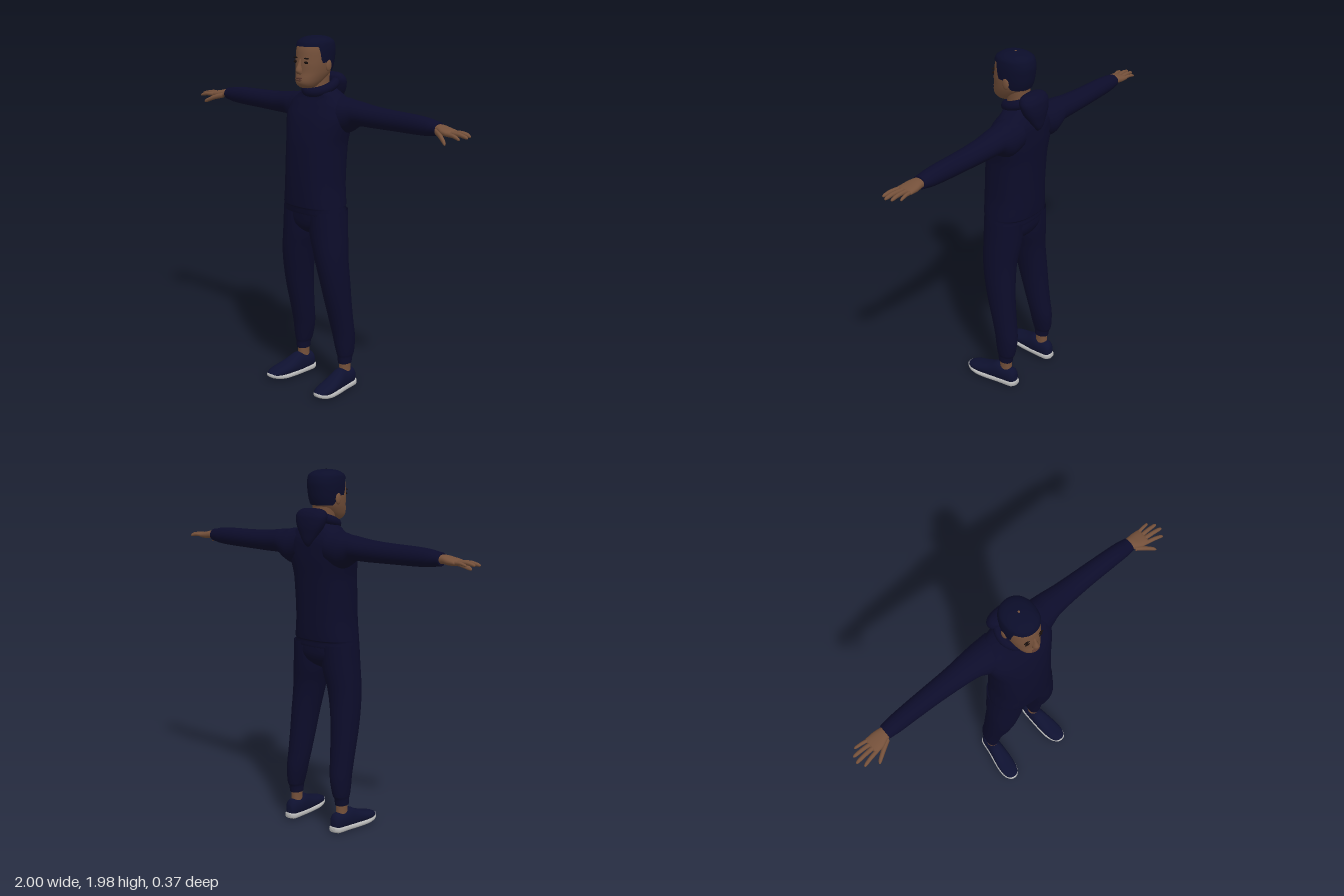
import * as THREE from 'three';

const mat = (name, color, side = THREE.FrontSide) => {
  const m = new THREE.MeshStandardMaterial({ color, side });
  m.name = name;
  return m;
};

// Monotone cubic interpolation of cross-section rows [t, cu, cv, ru, rv]
function rowAt(rows, t) {
  let i = 0;
  while (i < rows.length - 2 && t > rows[i + 1][0]) i++;
  const slope = (j, c) => (rows[j + 1][c] - rows[j][c]) / (rows[j + 1][0] - rows[j][0]);
  const tangent = (j, c) => {
    if (j === 0) return slope(0, c);
    if (j === rows.length - 1) return slope(j - 1, c);
    const a = slope(j - 1, c), b = slope(j, c);
    return a * b <= 0 ? 0 : (2 * a * b) / (a + b);
  };
  const h = rows[i + 1][0] - rows[i][0], k = (t - rows[i][0]) / h;
  return [1, 2, 3, 4].map((c) =>
    rows[i][c] * (1 + 2 * k) * (1 - k) ** 2 + tangent(i, c) * h * k * (1 - k) ** 2 +
    rows[i + 1][c] * k * k * (3 - 2 * k) + tangent(i + 1, c) * h * k * k * (k - 1));
}

// Skin over superelliptic rings along an axis; u and v follow it cyclically
function loft(axis, rows, { n = 2.2, seg = 28, sub = 4, low = null, grow = 0 } = {}) {
  const pos = [], index = [], first = rows[0][0], last = rows[rows.length - 1][0];
  const steps = low ? 20 : (rows.length - 1) * sub;
  for (let r = 0; r <= steps; r++) {
    const i = Math.min(Math.floor(r / sub), rows.length - 2);
    for (let j = 0; j < seg; j++) {
      const a = (j / seg) * Math.PI * 2, c = Math.cos(a), s = Math.sin(a);
      const t = low
        ? low(c) + (last - low(c)) * Math.sin((r / steps) * Math.PI / 2)
        : rows[i][0] + (rows[i + 1][0] - rows[i][0]) * (r / sub - i);
      const [cu, cv, ru, rv] = rowAt(rows, t);
      const p = [0, 0, 0];
      p[axis] = t + grow * Math.max(0, (t - first) / (last - first));
      p[(axis + 1) % 3] = cu + (ru + grow) * Math.sign(c) * Math.abs(c) ** (2 / n);
      p[(axis + 2) % 3] = cv + (rv + grow) * Math.sign(s) * Math.abs(s) ** (2 / n);
      pos.push(...p);
      if (r < steps) {
        const k = r * seg + j, q = r * seg + ((j + 1) % seg);
        index.push(k, q, k + seg, q, q + seg, k + seg);
      }
    }
  }
  const g = new THREE.BufferGeometry();
  g.setAttribute('position', new THREE.Float32BufferAttribute(pos, 3));
  g.setIndex(index);
  g.computeVertexNormals();
  return g;
}

const ball = (x, y, z, rx, ry, rz) =>
  new THREE.SphereGeometry(1, 20, 14).scale(rx, ry, rz).translate(x, y, z);

function mirrored(geometry) {
  const g = geometry.clone().scale(-1, 1, 1), ix = g.index.array;
  for (let i = 0; i < ix.length; i += 3) [ix[i], ix[i + 1]] = [ix[i + 1], ix[i]];
  return g;
}

export function createModel() {
  const model = new THREE.Group();
  model.name = 'standingMan';
  const cloth = mat('navy cloth', 0x0c0c2a, THREE.DoubleSide);
  const hair = mat('dark hair', 0x0b0d2a, THREE.DoubleSide);
  const skin = mat('brown skin', 0x74503a);
  const lip = mat('lip', 0x5c3a2e);
  const dark = mat('eye dark', 0x170e0c);
  const shoe = mat('navy shoe', 0x0e1130);
  const sole = mat('pale sole', 0xb4b4b4);

  const add = (name, geometry, material) => {
    const m = new THREE.Mesh(geometry, material);
    m.name = name;
    model.add(m);
  };
  const pair = (name, geometry, material) => {
    add(name + 'Left', geometry, material);
    add(name + 'Right', mirrored(geometry), material);
  };
  const X = 0, Y = 1, Z = 2;

  // Head, neck and cropped hair
  const headRows = [
    [1.708, 0.06, 0, 0, 0], [1.714, 0.062, 0, 0.035, 0.032], [1.73, 0.06, 0, 0.06, 0.05],
    [1.76, 0.04, 0, 0.088, 0.066], [1.8, 0.017, 0, 0.103, 0.079], [1.85, 0.009, 0, 0.109, 0.086],
    [1.9, 0.003, 0, 0.109, 0.088], [1.945, 0, 0, 0.098, 0.082], [1.963, -0.002, 0, 0.076, 0.064],
    [1.973, -0.002, 0, 0.045, 0.04], [1.978, -0.002, 0, 0, 0],
  ];
  add('head', loft(Y, headRows, { seg: 40 }), skin);
  const ease = THREE.MathUtils.smoothstep;
  const hairline = (c) => 1.795 + 0.05 * ease(c, -0.5, 0) + 0.083 * ease(c, 0.2, 0.5);
  add('hair', loft(Y, headRows, { seg: 64, low: hairline, grow: 0.006 }), hair);
  add('neck', loft(Y, [[1.64, -0.03, 0, 0.06, 0.06], [1.72, -0.02, 0, 0.058, 0.055],
    [1.79, -0.02, 0, 0.062, 0.06]]), skin);

  // Face
  add('nose', loft(Y, [[1.786, 0.116, 0, 0, 0], [1.792, 0.118, 0, 0.015, 0.018],
    [1.808, 0.121, 0, 0.023, 0.018], [1.84, 0.115, 0, 0.015, 0.01],
    [1.872, 0.11, 0, 0.005, 0.008]], { seg: 16, n: 2 }), skin);
  add('upperLip', ball(0, 1.769, 0.127, 0.025, 0.006, 0.008), lip);
  add('lowerLip', ball(0, 1.758, 0.127, 0.022, 0.006, 0.008), lip);
  pair('eye', ball(0.035, 1.851, 0.111, 0.016, 0.007, 0.0045).rotateY(0.03), dark);
  pair('brow', ball(0.036, 1.873, 0.109, 0.02, 0.004, 0.0048).rotateY(0.03), dark);
  pair('ear', ball(0.089, 1.832, -0.008, 0.009, 0.031, 0.02), skin);

  // Hooded top
  add('torso', loft(Y, [
    [1.03, 0.005, 0, 0.115, 0.175], [1.034, 0.005, 0, 0.128, 0.187], [1.065, 0.007, 0, 0.132, 0.184],
    [1.075, 0.005, 0, 0.139, 0.183], [1.2, 0.003, 0, 0.142, 0.171], [1.4, -0.008, 0, 0.139, 0.176],
    [1.5, -0.022, 0, 0.132, 0.196], [1.56, -0.032, 0, 0.122, 0.206], [1.62, -0.046, 0, 0.104, 0.196],
    [1.66, -0.05, 0, 0.086, 0.15], [1.69, -0.042, 0, 0.078, 0.1], [1.71, -0.035, 0, 0.07, 0.075],
  ], { n: 2.4, seg: 40 }), cloth);
  pair('sleeve', loft(X, [
    [0.1, 1.58, -0.055, 0.095, 0.1], [0.17, 1.568, -0.062, 0.096, 0.094],
    [0.21, 1.573, -0.066, 0.084, 0.086], [0.26, 1.587, -0.069, 0.065, 0.075],
    [0.36, 1.582, -0.071, 0.058, 0.064], [0.5, 1.58, -0.072, 0.053, 0.056],
    [0.65, 1.58, -0.07, 0.05, 0.05], [0.74, 1.579, -0.068, 0.044, 0.046],
    [0.775, 1.579, -0.067, 0.037, 0.042], [0.797, 1.579, -0.066, 0.034, 0.039],
    [0.8, 1.579, -0.066, 0.018, 0.024],
  ], { n: 2 }), cloth);

  // Collar ring rising toward the back, and the hood hanging behind
  const ring = [];
  for (let i = 0; i < 12; i++) {
    const a = (i / 12) * Math.PI * 2, c = Math.cos(a);
    ring.push(new THREE.Vector3(0.077 * Math.sin(a), 1.715 - 0.03 * c, -0.038 + 0.08 * c));
  }
  add('collar', new THREE.TubeGeometry(new THREE.CatmullRomCurve3(ring, true), 40, 0.026, 12, true), cloth);
  add('hood', loft(Y, [
    [1.57, -0.14, 0, 0, 0], [1.6, -0.145, 0, 0.025, 0.025], [1.65, -0.138, 0, 0.04, 0.06],
    [1.7, -0.13, 0, 0.05, 0.088], [1.74, -0.122, 0, 0.052, 0.098], [1.765, -0.116, 0, 0.044, 0.088],
    [1.78, -0.112, 0, 0.025, 0.06], [1.785, -0.11, 0, 0, 0],
  ]), cloth);

  // Trousers
  add('hips', loft(Y, [[0.9, 0.005, 0, 0.03, 0.01], [0.925, 0.003, 0, 0.08, 0.06],
    [0.96, 0, 0, 0.108, 0.15], [1.0, -0.002, 0, 0.117, 0.186], [1.06, 0, 0, 0.12, 0.18]]), cloth);
  pair('trouserLeg', loft(Y, [
    [0.15, -0.066, 0.168, 0.028, 0.024], [0.154, -0.066, 0.168, 0.042, 0.034],
    [0.19, -0.068, 0.168, 0.047, 0.036], [0.21, -0.07, 0.167, 0.055, 0.042],
    [0.3, -0.067, 0.16, 0.066, 0.055], [0.4, -0.05, 0.154, 0.07, 0.063],
    [0.6, -0.015, 0.146, 0.086, 0.073], [0.8, 0.005, 0.125, 0.1, 0.088],
    [0.92, 0.002, 0.104, 0.11, 0.1], [1.05, 0, 0.096, 0.115, 0.098],
  ], { n: 2.1 }), cloth);

  // Hands: palm, four fingers and a thumb
  pair('palm', loft(X, [
    [0.77, 1.58, -0.066, 0.022, 0.029], [0.81, 1.58, -0.063, 0.023, 0.036],
    [0.85, 1.574, -0.058, 0.021, 0.046], [0.89, 1.57, -0.056, 0.014, 0.047],
    [0.903, 1.568, -0.056, 0, 0],
  ], { n: 2.3 }), skin);
  const digit = (name, [x0, y0, z0], [x1, y1, z1], r) => {
    const stop = (k, s) => [x0 + (x1 - x0) * k, y0 + (y1 - y0) * k + 0.006 * Math.sin(k * Math.PI),
      z0 + (z1 - z0) * k, r * s, r * s];
    pair(name, loft(X, [stop(0, 1.1), stop(0.5, 1), stop(0.85, 0.85), stop(0.96, 0.55), stop(1, 0)],
      { seg: 10, n: 2, sub: 3 }), skin);
  };
  digit('indexFinger', [0.875, 1.569, -0.021], [0.978, 1.557, 0.002], 0.0105);
  digit('middleFinger', [0.88, 1.571, -0.044], [1.0, 1.563, -0.034], 0.011);
  digit('ringFinger', [0.88, 1.571, -0.067], [0.992, 1.565, -0.068], 0.0105);
  digit('littleFinger', [0.87, 1.57, -0.088], [0.962, 1.564, -0.1], 0.009);
  digit('thumb', [0.805, 1.572, -0.035], [0.912, 1.528, 0.028], 0.014);

  // Ankles and trainers, toes turned slightly out
  pair('ankle', loft(Y, [[0.08, -0.066, 0.167, 0.036, 0.03], [0.13, -0.066, 0.167, 0.036, 0.028],
    [0.18, -0.066, 0.167, 0.036, 0.029]]), skin);
  pair('shoeUpper', loft(Z, [
    [-0.142, 0.165, 0.045, 0, 0], [-0.136, 0.165, 0.055, 0.022, 0.032],
    [-0.115, 0.166, 0.062, 0.036, 0.05], [-0.07, 0.168, 0.064, 0.042, 0.052],
    [-0.025, 0.171, 0.066, 0.045, 0.062], [0.03, 0.177, 0.058, 0.05, 0.046],
    [0.08, 0.183, 0.05, 0.053, 0.034], [0.13, 0.188, 0.044, 0.049, 0.026],
    [0.165, 0.19, 0.04, 0.036, 0.018], [0.182, 0.191, 0.038, 0.018, 0.01],
    [0.186, 0.191, 0.038, 0, 0],
  ]), shoe);
  pair('shoeSole', loft(Z, [
    [-0.148, 0.165, 0.024, 0, 0], [-0.144, 0.165, 0.024, 0.022, 0.015],
    [-0.12, 0.166, 0.02, 0.039, 0.019], [-0.05, 0.17, 0.018, 0.044, 0.018],
    [0.03, 0.178, 0.017, 0.052, 0.017], [0.09, 0.184, 0.018, 0.056, 0.016],
    [0.14, 0.189, 0.024, 0.05, 0.016], [0.17, 0.191, 0.031, 0.036, 0.014],
    [0.187, 0.192, 0.036, 0.018, 0.009], [0.191, 0.192, 0.037, 0, 0],
  ], { n: 3 }), sole);

  return model;
}
